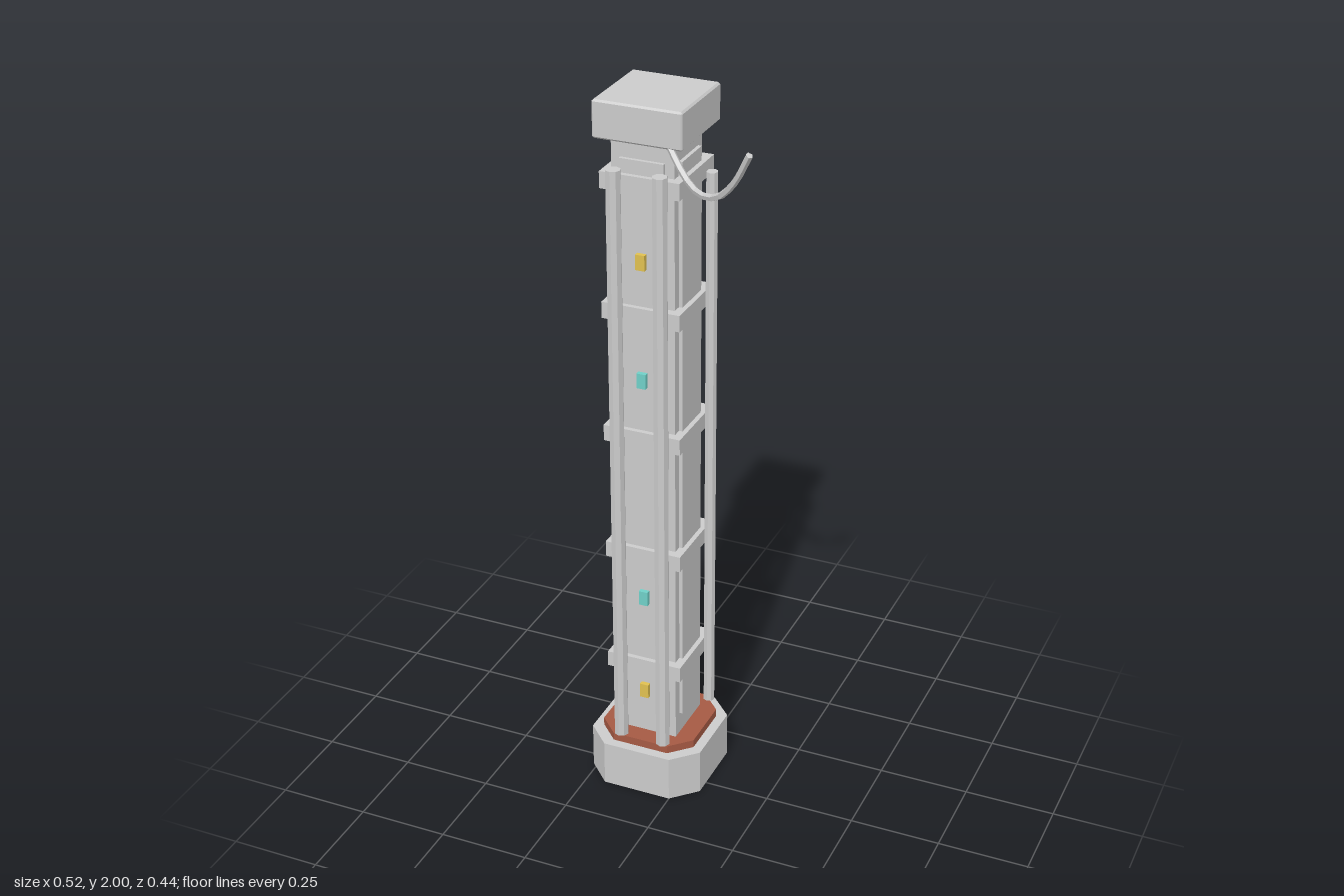
import * as THREE from 'three';

const mat = (color) => new THREE.MeshStandardMaterial({ color, flatShading: true });
const grey = mat(0xcccccc), rust = mat(0xa65a44), amber = mat(0xe0c050), cyan = mat(0x70d0c8);

// Chamfered square slab: h = half width, c = half length of the straight edge
function slab(h, c, y0, y1, bevel = 0) {
  const k = h - bevel;
  const pts = [[k, -c], [k, c], [c, k], [-c, k], [-k, c], [-k, -c], [-c, -k], [c, -k]];
  const geo = new THREE.ExtrudeGeometry(
    new THREE.Shape(pts.map(([x, y]) => new THREE.Vector2(x, y))),
    { depth: y1 - y0 - 2 * bevel, bevelEnabled: bevel > 0, bevelSize: bevel, bevelThickness: bevel, bevelSegments: 1 });
  return geo.rotateX(-Math.PI / 2).translate(0, y0 + bevel, 0);
}

export function createModel() {
  const model = new THREE.Group();
  const tower = new THREE.Group();
  tower.name = 'tower';
  tower.position.set(-0.098, 0, -0.055);
  model.add(tower);

  const add = (name, geo, material = grey, x = 0, y = 0, z = 0, parent = tower) => {
    const mesh = new THREE.Mesh(geo, material);
    mesh.name = name;
    mesh.position.set(x, y, z);
    parent.add(mesh);
    return mesh;
  };

  // Footing, rust collar, shaft and cap
  add('base', slab(0.164, 0.098, 0, 0.132));
  add('collar', slab(0.137, 0.081, 0.132, 0.155), rust);
  add('shaft', new THREE.BoxGeometry(0.17, 1.755, 0.17), grey, 0, 1.0325, 0);
  add('cap', slab(0.12, 0.1145, 1.9, 2, 0.005));

  // Raised panel on each face
  for (let i = 0; i < 4; i++) {
    const a = i * Math.PI / 2;
    const panel = add('panel', new THREE.BoxGeometry(0.12, 1.63, 0.02), grey,
      Math.sin(a) * 0.085, 1.035, Math.cos(a) * 0.085);
    panel.rotation.y = a;
  }

  // Clamping bands
  for (let i = 0; i < 5; i++) {
    add('band', new THREE.BoxGeometry(0.216, 0.045, 0.216), grey, 0, 0.38 + i * 0.3525, 0);
  }

  // Conduits: a thick pair at the front, a thin one on each side
  for (const s of [-1, 1]) {
    add('frontConduit', new THREE.CylinderGeometry(0.02, 0.02, 1.675, 8), grey, s * 0.0625, 0.9925, 0.124);
    add('sideConduit', new THREE.CylinderGeometry(0.016, 0.016, 1.585, 8), grey, s * 0.121, 0.9925, -0.066);
  }

  // Indicator lights
  for (const [y, m] of [[0.3, amber], [0.6, cyan], [1.255, cyan], [1.585, amber]]) {
    add('light', new THREE.BoxGeometry(0.025, 0.042, 0.016), m, 0, y, 0.1);
  }

  // Loose cable sagging outward from under the cap
  const path = [[-0.02, 1.91], [0.03, 1.855], [0.065, 1.83], [0.1, 1.823], [0.15, 1.838], [0.205, 1.895], [0.253, 1.98]];
  const curve = new THREE.CatmullRomCurve3(path.map(([x, y]) => new THREE.Vector3(x, y, 0.063 + 0.577 * x)));
  const cableMat = mat(0xcccccc);
  cableMat.side = THREE.DoubleSide;
  add('cable', new THREE.TubeGeometry(curve, 12, 0.009, 5), cableMat, 0, 0, 0, model);
  const end = add('cableEnd', new THREE.CircleGeometry(0.009, 5), cableMat, ...curve.getPoint(1).toArray(), model);
  end.lookAt(curve.getPoint(1).add(curve.getTangent(1)));

  return model;
}
